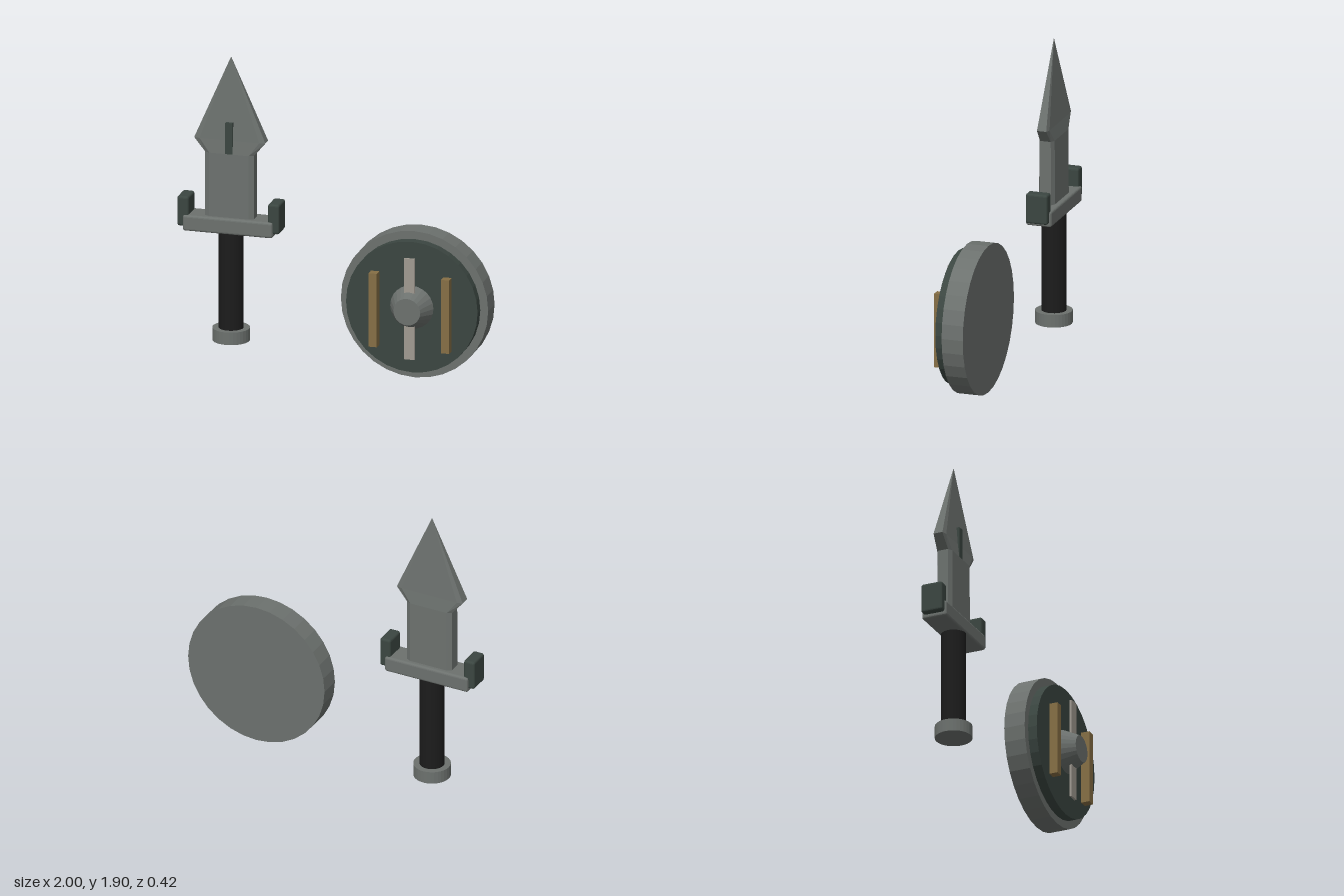
import * as THREE from 'three';
import { RoundedBoxGeometry } from 'three/addons/geometries/RoundedBoxGeometry.js';

const material = (name, color, flatShading = false) => {
  const m = new THREE.MeshStandardMaterial({ color, flatShading });
  m.name = name;
  return m;
};

// Blade: eight-sided cross-sections [y, half width, half flat, half thickness, half edge]
function bladeGeometry(sections) {
  const pos = [], idx = [], n = 8;
  for (const [y, w, f, t, e] of sections) {
    for (const [x, z] of [[w, e], [f, t], [-f, t], [-w, e], [-w, -e], [-f, -t], [f, -t], [w, -e]]) {
      pos.push(x, y, z);
    }
  }
  for (let s = 0; s < sections.length - 1; s++) {
    for (let i = 0; i < n; i++) {
      const a = s * n + i, b = s * n + (i + 1) % n;
      idx.push(a, a + n, b, b, a + n, b + n);
    }
  }
  for (let i = 1; i < n - 1; i++) idx.push(0, i, i + 1);
  const g = new THREE.BufferGeometry();
  g.setAttribute('position', new THREE.Float32BufferAttribute(pos, 3));
  g.setIndex(idx);
  const flat = g.toNonIndexed();
  flat.computeVertexNormals();
  return flat;
}

export function createModel() {
  const steel = material('steel', 0x6c716e, true);
  const green = material('dark green', 0x3b4641, true);
  const black = material('black grip', 0x1c1c1c);
  const brass = material('brass', 0x866f45);
  const pale = material('pale metal', 0xa09a91);

  const model = new THREE.Group();
  const sword = new THREE.Group();
  sword.name = 'sword';
  sword.position.set(-0.675, 0, -0.093);
  const shield = new THREE.Group();
  shield.name = 'shield';
  shield.position.set(0.53, 0.47, 0);
  model.add(sword, shield);

  const add = (parent, name, geometry, mat, x = 0, y = 0, z = 0) => {
    const mesh = new THREE.Mesh(geometry, mat);
    mesh.name = name;
    mesh.position.set(x, y, z);
    parent.add(mesh);
    return mesh;
  };

  // Sword handle
  add(sword, 'pommel', new THREE.CylinderGeometry(0.115, 0.115, 0.08, 32), steel, 0, 0.13, 0);
  add(sword, 'grip', new THREE.CylinderGeometry(0.077, 0.077, 0.64, 32), black, 0, 0.48, 0);
  add(sword, 'guard', new RoundedBoxGeometry(0.57, 0.1, 0.165, 2, 0.014), steel, 0, 0.835, 0);
  for (const side of [-1, 1]) {
    add(sword, 'guardTip', new RoundedBoxGeometry(0.073, 0.19, 0.14, 2, 0.014), green, side * 0.288, 0.905, 0);
  }

  // Sword blade with flared spear-shaped head
  add(sword, 'blade', bladeGeometry([
    [0.86, 0.155, 0.125, 0.052, 0.036],
    [1.29, 0.155, 0.125, 0.049, 0.034],
    [1.375, 0.226, 0.19, 0.039, 0.03],
    [1.9, 0.001, 0.0008, 0.001, 0.0008],
  ]), steel);
  add(sword, 'bladeInlay', new THREE.BoxGeometry(0.046, 0.2, 0.03), green, 0, 1.39, 0.034);

  // Shield discs, stacked towards the front
  const disc = (name, rBack, rFront, z0, z1, segments, mat) => {
    const g = new THREE.CylinderGeometry(rFront, rBack, z1 - z0, segments).rotateX(Math.PI / 2);
    add(shield, name, g, mat, 0, 0, (z0 + z1) / 2);
  };
  disc('shieldBody', 0.468, 0.468, -0.095, 0.042, 32, steel);
  disc('shieldFace', 0.418, 0.418, 0.04, 0.1, 32, green);
  disc('boss', 0.14, 0.085, 0.095, 0.207, 24, steel);

  // Shield bars
  add(shield, 'centreStrip', new THREE.BoxGeometry(0.068, 0.645, 0.014), pale, 0, 0.003, 0.149);
  for (const side of [-1, 1]) {
    add(shield, 'sideBar', new THREE.BoxGeometry(0.053, 0.47, 0.055), brass, side * 0.23, -0.022, 0.137);
  }
  return model;
}
